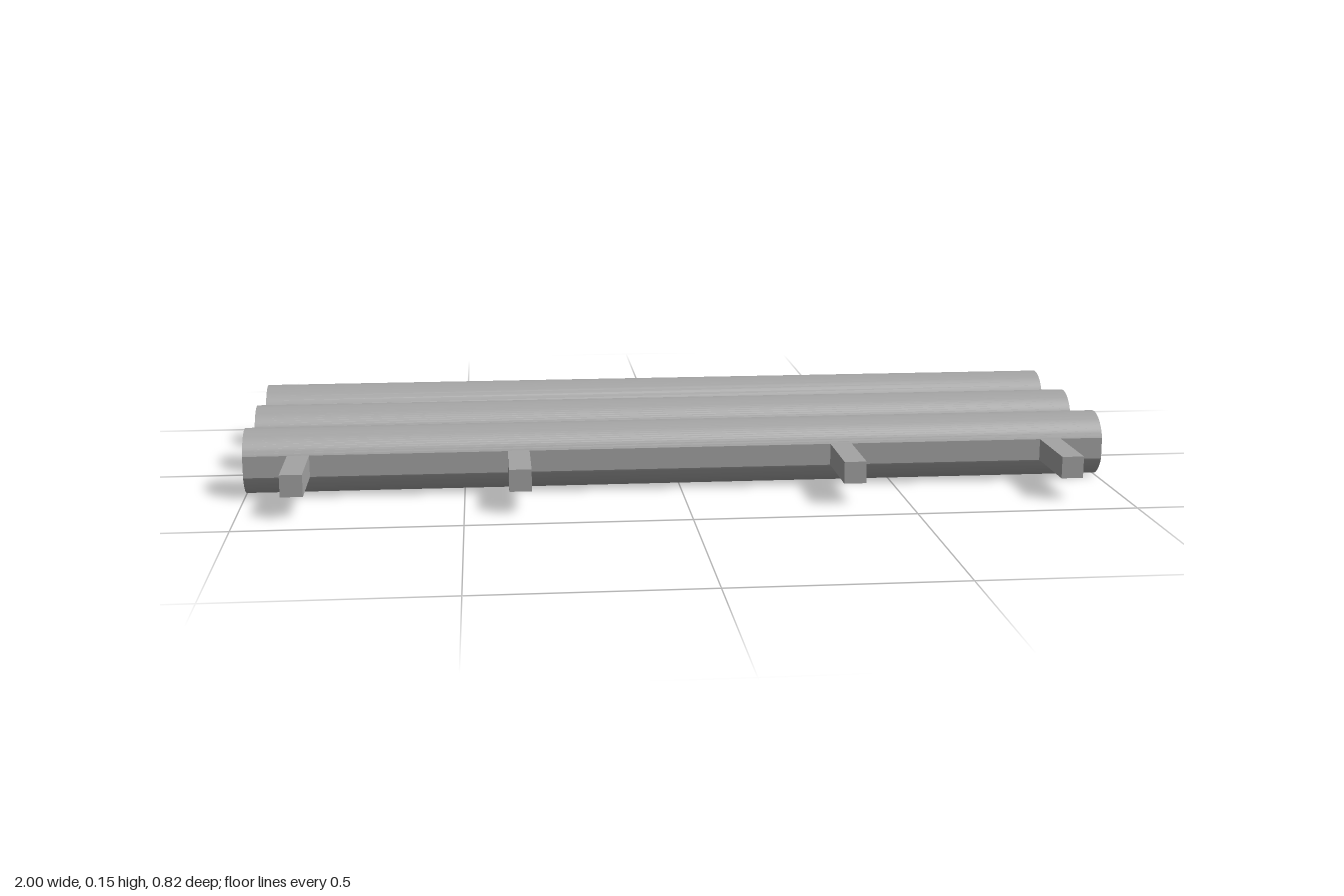
import * as THREE from 'three';
import { toCreasedNormals } from 'three/addons/utils/BufferGeometryUtils.js';

// log along x, with a narrow flat along its front and, if asked, its back
function makeLogGeometry(flatBack) {
  const radius = 0.075;
  const flat = Math.asin(1 / 3); // half the angle taken up by a flat
  const profile = new THREE.Shape();
  if (flatBack) {
    profile.absarc(0, 0, radius, flat, Math.PI - flat);
    profile.absarc(0, 0, radius, Math.PI + flat, 2 * Math.PI - flat);
  } else {
    profile.absarc(0, 0, radius, flat, 2 * Math.PI - flat);
  }
  profile.closePath();
  const geometry = new THREE.ExtrudeGeometry(profile, { depth: 2, bevelEnabled: false, curveSegments: 16 });
  geometry.translate(0, 0, -1);
  geometry.rotateY(-Math.PI / 2);
  return toCreasedNormals(geometry, 0.22);
}

export function createModel() {
  const model = new THREE.Group();
  const material = new THREE.MeshStandardMaterial({ color: 0xa4a4a4 });

  // three long parallel logs, flattened where the crossbars pass
  const logs = [['frontLog', 0.1625, true], ['middleLog', -0.0875, true], ['backLog', -0.3375, false]];
  for (const [name, z, flatBack] of logs) {
    const log = new THREE.Mesh(makeLogGeometry(flatBack), material);
    log.name = name;
    log.position.set(0, 0.075, z);
    model.add(log);
  }

  // square crossbars through the logs, ending inside the back log
  const barGeometry = new THREE.BoxGeometry(0.05, 0.05, 0.75);
  for (const side of [-1, 1]) {
    for (const [part, x] of [['Inner', 0.375], ['Outer', 0.875]]) {
      const bar = new THREE.Mesh(barGeometry, material);
      bar.name = (side > 0 ? 'left' : 'right') + part + 'Crossbar';
      bar.position.set(side * x, 0.075, 0.0375);
      model.add(bar);
    }
  }
  return model;
}
